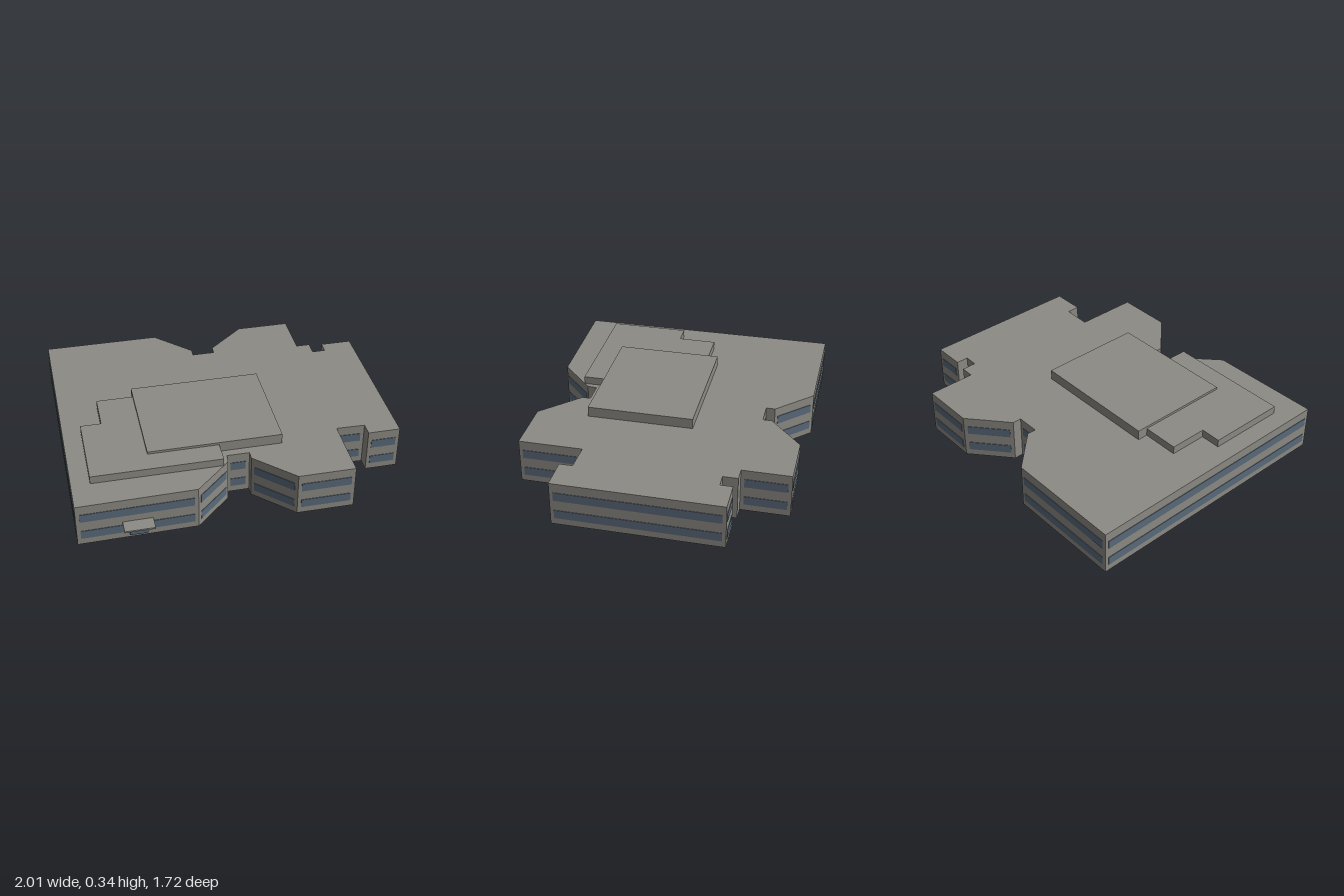
import * as THREE from 'three';

const HEIGHT = 0.275;

// Building footprint as [x, z], clockwise seen from above, starting at the back
const FOOTPRINT = [
  [-1, -0.86], [-0.28, -0.86], [-0.065, -0.645], [-0.065, -0.59],
  [0.075, -0.59], [0.075, -0.645], [0.305, -0.845], [0.637, -0.845],
  [0.637, -0.55], [0.722, -0.55], [0.722, -0.46], [0.805, -0.46],
  [0.805, -0.535], [1, -0.535], [1, 0.47], [0.803, 0.47],
  [0.803, 0.39], [0.628, 0.385], [0.628, 0.775], [0.285, 0.775],
  [0.06, 0.555], [0.06, 0.503], [-0.075, 0.503], [-0.08, 0.56],
  [-0.295, 0.765], [-0.995, 0.775],
];

// Lower rooftop storey, wrapped around the main one
const LOWER_STOREY = [
  [-0.76, -0.13], [-0.535, -0.13], [-0.535, 0.455], [-0.11, 0.455],
  [-0.11, 0.59], [-0.885, 0.59], [-0.885, 0.105], [-0.76, 0.105],
];

// Window bands as [centre height, band height]
const BANDS = [[0.069, 0.054], [0.189, 0.054]];

const planShape = (points) => new THREE.Shape(points.map(([x, z]) => new THREE.Vector2(x, -z)));

export function createModel() {
  const model = new THREE.Group();
  const concrete = new THREE.MeshStandardMaterial({ color: 0x8d8b84, side: THREE.DoubleSide });
  concrete.name = 'concrete';
  const glass = new THREE.MeshStandardMaterial({ color: 0x5a6a7b });
  glass.name = 'windowGlass';

  function add(parent, name, geometry, material, x = 0, y = 0, z = 0) {
    const mesh = new THREE.Mesh(geometry, material);
    mesh.name = name;
    mesh.position.set(x, y, z);
    parent.add(mesh);
    return mesh;
  }

  // Walls: open underneath, with two window bands on all but the shortest
  FOOTPRINT.forEach(([x0, z0], i) => {
    const [x1, z1] = FOOTPRINT[(i + 1) % FOOTPRINT.length];
    const dx = x1 - x0, dz = z1 - z0, length = Math.hypot(dx, dz);
    const side = new THREE.Group();
    side.name = 'facade';
    side.position.set((x0 + x1) / 2, 0, (z0 + z1) / 2);
    side.rotation.y = Math.atan2(dz, -dx);
    add(side, 'wall', new THREE.PlaneGeometry(length, HEIGHT), concrete, 0, HEIGHT / 2, 0);
    if (length > 0.1) {
      for (const [y, h] of BANDS) {
        add(side, 'windowBand', new THREE.BoxGeometry(length - 0.044, h, 0.003), glass, 0, y, 0.0017);
      }
    }
    model.add(side);
  });

  // Flat roof
  const roof = new THREE.ShapeGeometry(planShape(FOOTPRINT)).rotateX(-Math.PI / 2);
  add(model, 'roof', roof, concrete, 0, HEIGHT, 0);

  // Rooftop storeys
  const lower = new THREE.ExtrudeGeometry(planShape(LOWER_STOREY), { depth: 0.049, bevelEnabled: false });
  add(model, 'lowerRooftopStorey', lower.rotateX(-Math.PI / 2), concrete, 0, HEIGHT + 0.001, 0);
  add(model, 'upperRooftopStorey', new THREE.BoxGeometry(0.805, 0.064, 0.65), concrete, -0.1325, HEIGHT + 0.033, 0.13);

  // Entrance door and its canopy
  add(model, 'door', new THREE.BoxGeometry(0.105, 0.09, 0.008), glass, -0.643, 0.061, 0.774);
  add(model, 'canopy', new THREE.BoxGeometry(0.176, 0.01, 0.085), concrete, -0.646, 0.113, 0.8125);

  return model;
}
